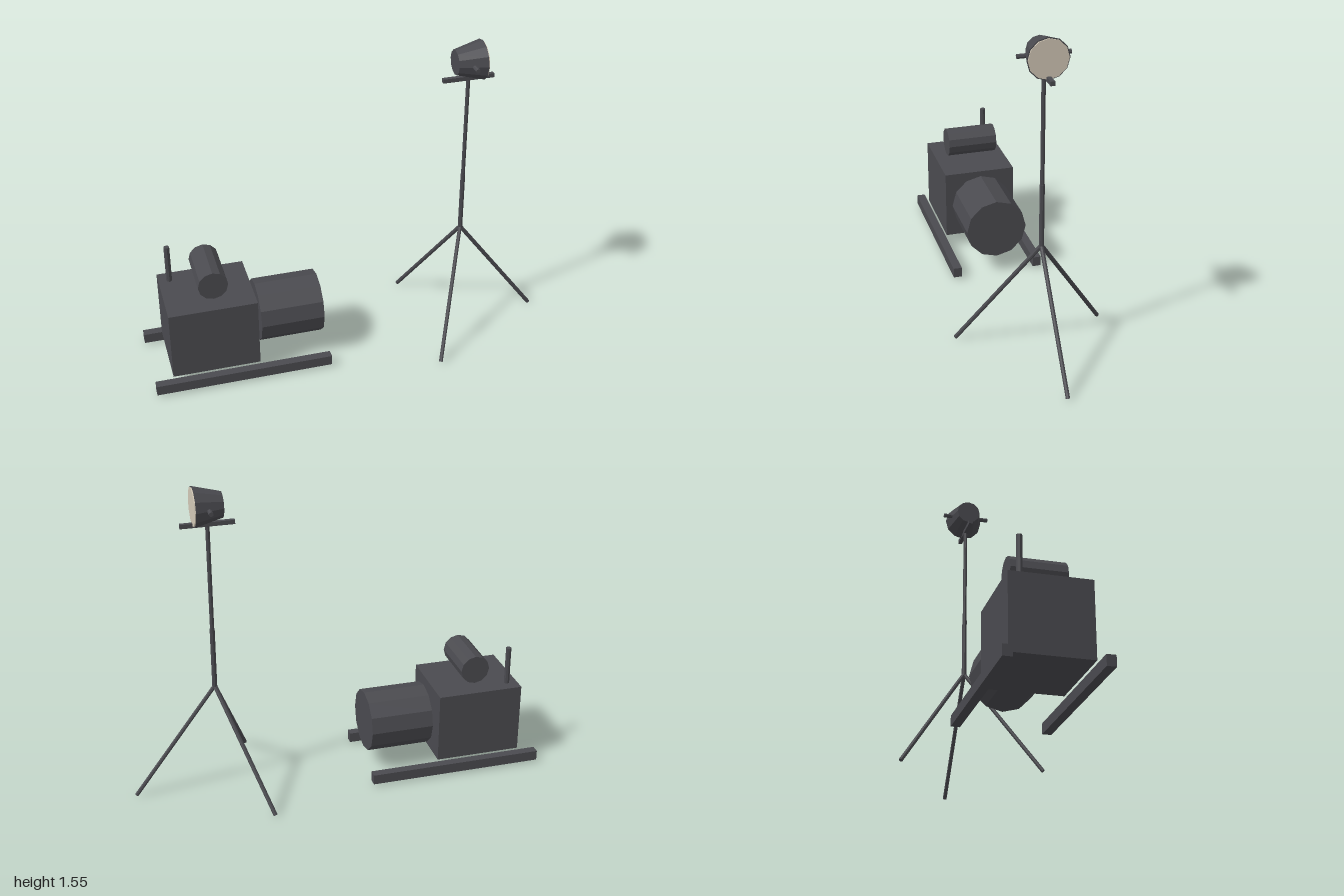
import * as THREE from 'three';

const metal = new THREE.MeshStandardMaterial({ color: 0x4a4a4f, flatShading: true });
metal.name = 'dark metal';
const glass = new THREE.MeshStandardMaterial({ color: 0xd2c8b6, flatShading: true });
glass.name = 'warm lens';

function add(group, name, geometry, material = metal) {
  const mesh = new THREE.Mesh(geometry, material);
  mesh.name = name;
  group.add(mesh);
  return mesh;
}

function box(group, name, size, pos) {
  add(group, name, new THREE.BoxGeometry(...size)).position.set(...pos);
}

// Straight round bar or cone between two points
function rod(group, name, from, to, r0, r1 = r0, sides = 12, material = metal) {
  const a = new THREE.Vector3(...from);
  const b = new THREE.Vector3(...to);
  const dir = b.clone().sub(a);
  const mesh = add(group, name, new THREE.CylinderGeometry(r1, r0, dir.length(), sides), material);
  mesh.position.copy(a).add(b).multiplyScalar(0.5);
  mesh.quaternion.setFromUnitVectors(new THREE.Vector3(0, 1, 0), dir.normalize());
}

export function createModel() {
  const model = new THREE.Group();

  // Generator set on two skids
  const generator = new THREE.Group();
  generator.name = 'generator';
  model.add(generator);
  for (const side of [-1, 1]) {
    box(generator, 'skidRail', [0.86, 0.05, 0.042], [-0.57, 0.039, side * 0.209]);
  }
  box(generator, 'engineBlock', [0.425, 0.35, 0.364], [-0.699, 0.245, 0]);
  rod(generator, 'alternator', [-0.465, 0.25, 0], [-0.155, 0.25, 0], 0.153);
  rod(generator, 'fuelTank', [-0.685, 0.518, -0.127], [-0.685, 0.518, 0.127], 0.072);
  rod(generator, 'exhaustPipe', [-0.859, 0.42, -0.118], [-0.859, 0.612, -0.118], 0.014, 0.014, 8);

  // Tripod stand
  const stand = new THREE.Group();
  stand.name = 'lightStand';
  model.add(stand);
  const x = 0.585;
  for (let i = 0; i < 3; i++) {
    const a = (i * Math.PI * 2) / 3;
    const foot = [x + 0.405 * Math.cos(a), 0.008, 0.405 * Math.sin(a)];
    rod(stand, 'tripodLeg', foot, [x, 0.55, 0], 0.01, 0.01, 8);
  }
  rod(stand, 'lowerMast', [x, 0.54, 0], [x, 0.85, 0], 0.012, 0.012, 8);
  rod(stand, 'upperMast', [x, 0.85, 0], [x, 1.365, 0], 0.01, 0.01, 8);
  box(stand, 'crossBar', [0.25, 0.02, 0.02], [x, 1.367, 0]);

  // Lamp head with side pivots and lens
  const lamp = new THREE.Group();
  lamp.name = 'lampHead';
  model.add(lamp);
  rod(lamp, 'lampHousing', [0.516, 1.453, 0], [0.647, 1.453, 0], 0.06, 0.095);
  rod(lamp, 'lampPivot', [x, 1.453, -0.119], [x, 1.453, 0.119], 0.011, 0.011, 8);
  rod(lamp, 'lens', [0.645, 1.453, 0], [0.652, 1.453, 0], 0.09, 0.09, 12, glass);

  return model;
}
